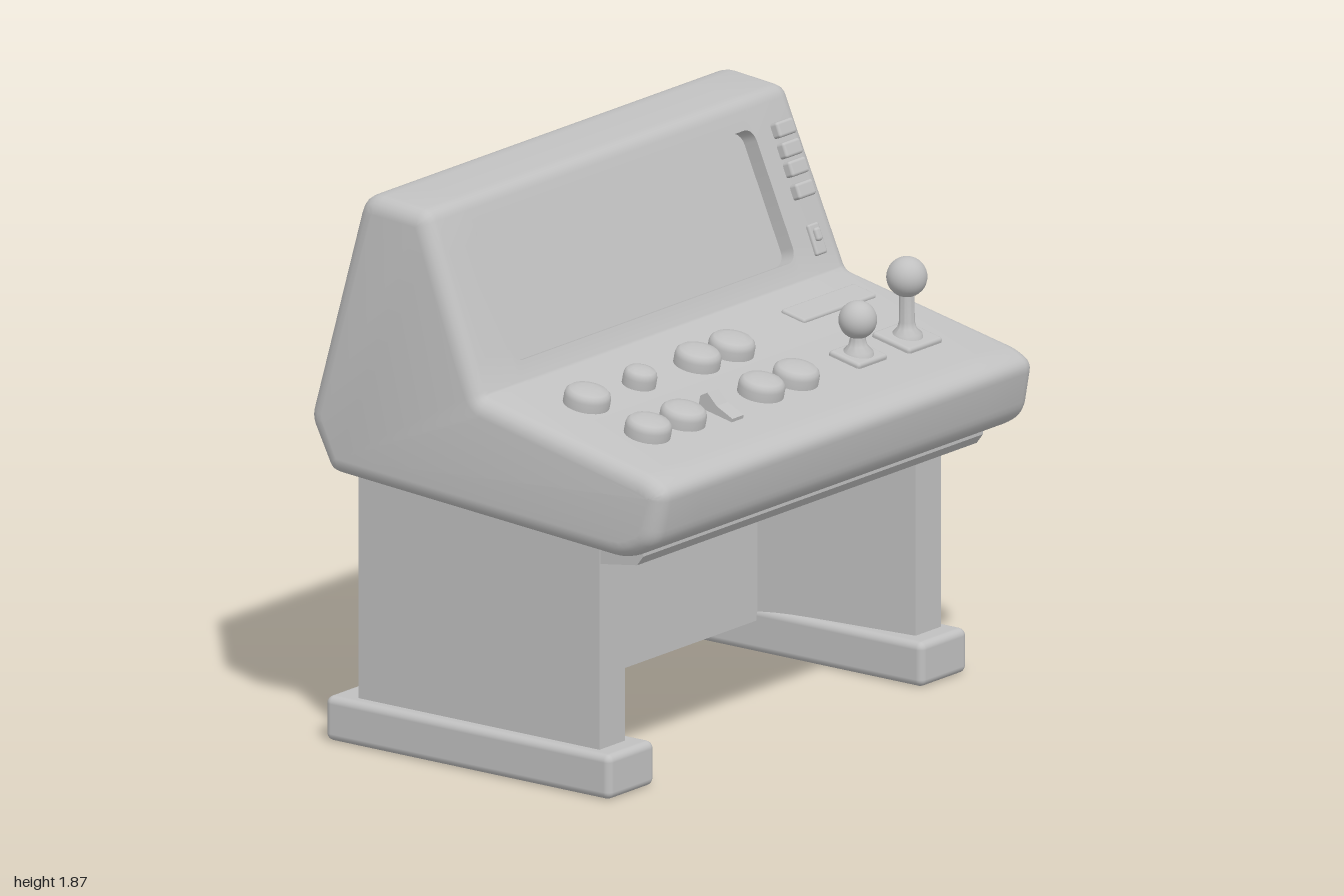
import * as THREE from 'three';
import { toCreasedNormals } from 'three/addons/utils/BufferGeometryUtils.js';
import { RoundedBoxGeometry } from 'three/addons/geometries/RoundedBoxGeometry.js';

// Side profile of the cabinet as [z, y, corner cut]; zero cut marks the screen opening edges
const PROFILE = [
  [0.728, 1.085, 0.035], [0.665, 1.125, 0.04], [-0.03, 1.27, 0.02],
  [-0.059, 1.34, 0], [-0.233, 1.76, 0],
  [-0.268, 1.85, 0.035], [-0.53, 1.875, 0.07], [-0.732, 1.09, 0.035],
  [-0.64, 0.92, 0.03], [0.57, 0.835, 0.06], [0.69, 0.9, 0.05],
];
const PANEL_TILT = Math.atan2(0.145, 0.695);
const FACE_TILT = Math.atan2(0.58, 0.24);
const panelY = z => 1.125 + (0.665 - z) * 0.145 / 0.695;
const faceZ = y => -0.03 - (y - 1.27) * 0.24 / 0.58;

// Rounds the profile corners and gives every point an outward normal
function roundedProfile() {
  const pts = [];
  PROFILE.forEach(([z, y, r], i) => {
    const p = new THREE.Vector2(z, y);
    if (r === 0) { pts.push({ p, lip: i === 3 ? 1 : -1 }); return; }
    const toward = k => {
      const q = PROFILE[(i + k + PROFILE.length) % PROFILE.length];
      return new THREE.Vector2(q[0], q[1]).sub(p).setLength(r).add(p);
    };
    new THREE.QuadraticBezierCurve(toward(-1), p, toward(1)).getPoints(5).forEach(q => pts.push({ p: q, lip: 0 }));
  });
  pts.forEach((a, i) => {
    const d = pts[(i + 1) % pts.length].p.clone().sub(pts[(i + pts.length - 1) % pts.length].p).normalize();
    a.n = new THREE.Vector2(d.y, -d.x);
  });
  return pts;
}

// Cabinet: cross-sections lofted along x, with a rounded screen recess
function cabinetGeometry() {
  const pts = roundedProfile();
  const up = new THREE.Vector2(-0.24, 0.58).normalize();
  const inward = new THREE.Vector2(-0.58, -0.24).normalize();
  const ring = (x, inset, depth, squeeze) => {
    const out = [];
    const add = v => out.push(new THREE.Vector3(x * (1 - 0.035 * (v.y - 0.9) / 0.95), v.y, v.x));
    for (const { p, n, lip } of pts) {
      const v = p.clone().addScaledVector(n, -inset);
      if (lip) v.addScaledVector(up, lip * squeeze);
      const floor = v.clone().addScaledVector(inward, depth);
      if (lip === 1) { add(v); add(floor); }
      else if (lip === -1) { add(floor); add(v); }
      else add(v);
    }
    return out;
  };
  const R = 0.055, C = 0.045, D = 0.055, N = 5;
  const left = [], right = [], recessL = [], recessR = [];
  for (let i = 0; i <= N; i++) {
    const a = i / N * Math.PI / 2, x = 1 - R + R * Math.cos(a), inset = R * (1 - Math.sin(a));
    left.push(ring(-x, R - R * Math.sin(a), 0, C));
    right.unshift(ring(x, inset, 0, C));
    const cx = C * (1 - Math.cos(a)), sq = C * (1 - Math.sin(a));
    recessL.push(ring(-0.775 + cx, 0, D, sq));
    recessR.unshift(ring(0.75 - cx, 0, D, sq));
  }
  const rings = [...left, ring(-0.775, 0, 0, C), ...recessL, ...recessR, ring(0.75, 0, 0, C), ...right];
  const pos = [];
  const tri = (...vs) => vs.forEach(v => pos.push(v.x, v.y, v.z));
  for (let i = 0; i < rings.length - 1; i++) {
    const A = rings[i], B = rings[i + 1];
    for (let j = 0; j < A.length; j++) {
      const k = (j + 1) % A.length;
      tri(A[j], B[j], B[k]);
      tri(A[j], B[k], A[k]);
    }
  }
  // Flat sides
  const first = rings[0], last = rings[rings.length - 1];
  for (const [a, b, c] of THREE.ShapeUtils.triangulateShape(first.map(v => new THREE.Vector2(v.z, v.y)), [])) {
    tri(first[a], first[b], first[c]);
    tri(last[a], last[c], last[b]);
  }
  const g = new THREE.BufferGeometry();
  g.setAttribute('position', new THREE.Float32BufferAttribute(pos, 3));
  return toCreasedNormals(g, 0.6);
}

const shapeOf = list => new THREE.Shape(list.map(([x, y]) => new THREE.Vector2(x, y)));
const lathe = (list, n = 28) =>
  toCreasedNormals(new THREE.LatheGeometry(list.map(([x, y]) => new THREE.Vector2(x, y)), n), 0.7);

export function createModel() {
  const root = new THREE.Group();
  const grey = new THREE.MeshStandardMaterial({ color: 0xc0c0c0 });
  grey.name = 'plain grey';
  const add = (name, geo, x = 0, y = 0, z = 0, tilt = 0) => {
    const m = new THREE.Mesh(geo, grey);
    m.name = name;
    m.position.set(x, y, z);
    m.rotation.x = tilt;
    root.add(m);
    return m;
  };
  const box = (w, h, d, r) => new RoundedBoxGeometry(w, h, d, 3, r);
  const onPanel = (name, geo, x, z) => add(name, geo, x, panelY(z), z, PANEL_TILT);
  const onFace = (name, geo, x, y) => add(name, geo, x, y, faceZ(y), FACE_TILT);

  add('cabinet', cabinetGeometry());

  // Pedestal: two side legs joined by a thick back panel, drawn in plan
  const plan = shapeOf([[-0.905, -0.585], [0.905, -0.585], [0.905, 0.4], [0.77, 0.4],
    [0.71, -0.2], [-0.71, -0.2], [-0.77, 0.4], [-0.905, 0.4]]);
  add('pedestal', new THREE.ExtrudeGeometry(plan, { depth: 0.81, bevelEnabled: false }).rotateX(Math.PI / 2), 0, 0.92, 0);

  // Apron under the front edge
  const apron = shapeOf([[0.575, 0.87], [0.575, 0.83], [0.55, 0.797], [0.4, 0.775], [-0.3, 0.79], [-0.3, 0.87]]);
  add('apron', new THREE.ExtrudeGeometry(apron, { depth: 1.8, bevelEnabled: false }).rotateY(-Math.PI / 2), 0.9);

  for (const s of [-1, 1]) add('foot', box(0.245, 0.15, 1.165, 0.025), s * 0.828, 0.075, -0.107);

  // Push buttons
  const button = r => lathe([[r, -0.01], [r, 0.03], [r * 0.95, 0.044], [r * 0.82, 0.053], [r * 0.5, 0.058], [0, 0.06]]);
  const big = button(0.077), small = button(0.056);
  for (const x of [-0.69, -0.105, 0.075]) onPanel('button', big, x, 0.18);
  for (const x of [-0.7, -0.515, -0.1, 0.083]) onPanel('button', big, x, 0.437);
  onPanel('smallButton', small, -0.405, 0.175);

  // Wedge-shaped rocker switch
  const rocker = shapeOf([[-0.07, -0.02], [0.07, -0.02], [0.07, 0.012], [0, 0.03], [-0.045, 0.06], [-0.07, 0.04]]);
  const rockerGeo = new THREE.ExtrudeGeometry(rocker, { depth: 0.06, bevelEnabled: false })
    .rotateY(-Math.PI / 2).translate(0.03, 0, 0);
  onPanel('rockerSwitch', rockerGeo, -0.34, 0.46);

  // Joysticks
  for (const [x, top, r, w, d] of [[0.425, 1.3, 0.063, 0.155, 0.13], [0.685, 1.385, 0.067, 0.18, 0.16]]) {
    const y = panelY(0.43);
    onPanel('joystickPlate', box(w, 0.035, d, 0.012), x, 0.43);
    add('joystickShaft', lathe([[0.055, 0], [0.05, 0.022], [0.032, 0.04], [0.026, 0.06], [0.024, top - y]]), x, y, 0.43);
    add('joystickBall', new THREE.SphereGeometry(r, 28, 18), x, top, 0.43);
  }

  onPanel('slotPlate', box(0.385, 0.024, 0.1, 0.01), 0.672, 0.12);

  // Small keys and a toggle beside the screen
  for (const y of [1.728, 1.664, 1.605, 1.535]) onFace('key', box(0.09, 0.06, 0.052, 0.01), 0.858, y);
  onFace('togglePlate', box(0.056, 0.024, 0.105, 0.008), 0.858, 1.382);
  onFace('toggle', box(0.03, 0.05, 0.045, 0.01), 0.858, 1.395);

  return root;
}
